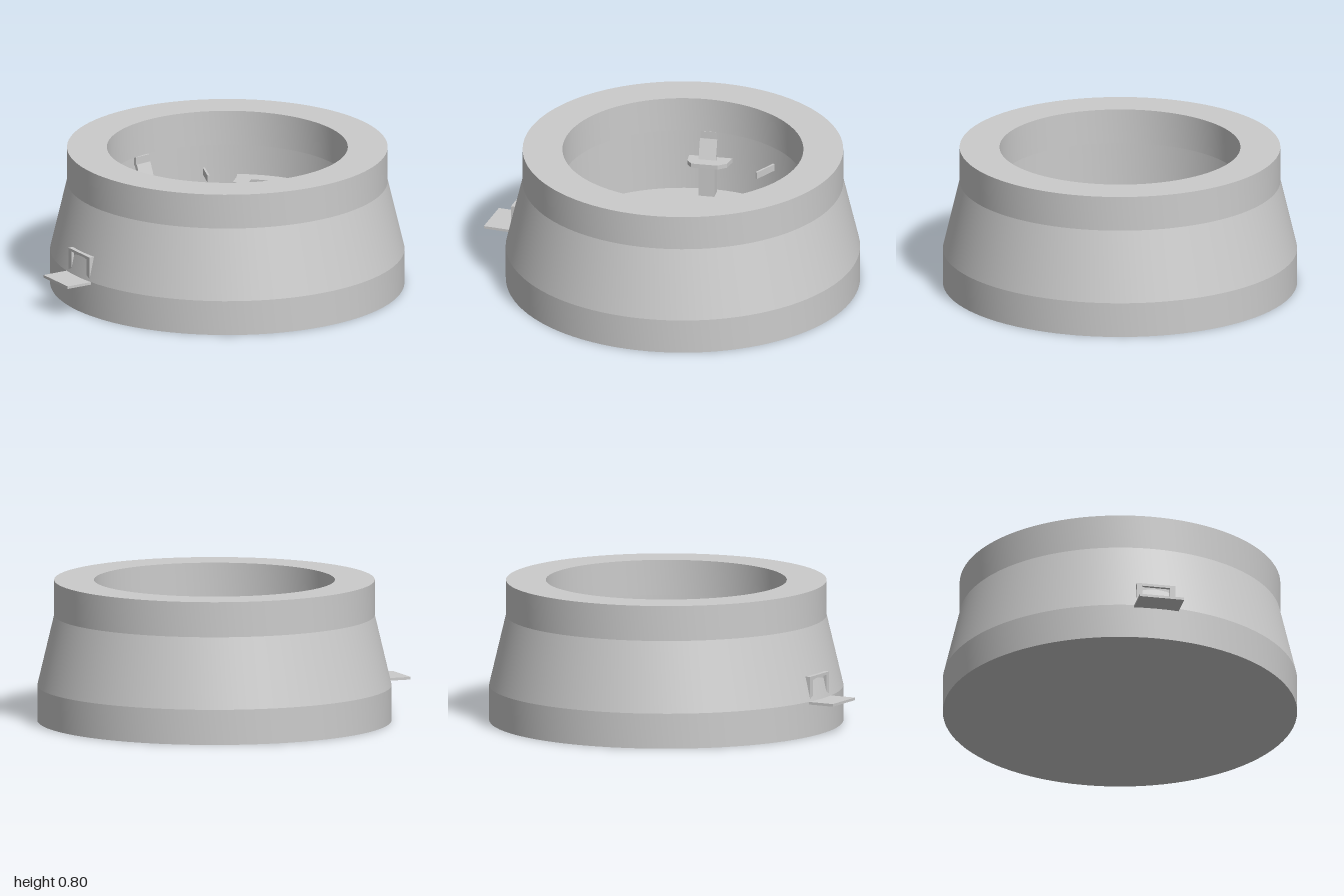
import * as THREE from 'three';
import { toCreasedNormals } from 'three/addons/utils/BufferGeometryUtils.js';

const FLOOR = 0.2, GALLERY = 0.4, WALL = 0.77;

export function createModel() {
  const model = new THREE.Group();
  const grey = new THREE.MeshStandardMaterial({ color: 0xcccccc });

  const add = (name, geo, parent = model) => {
    const mesh = new THREE.Mesh(geo, grey);
    mesh.name = name;
    parent.add(mesh);
    return mesh;
  };

  // box given by its limits on each axis
  const box = (name, x0, x1, y0, y1, z0, z1, parent) => {
    const mesh = add(name, new THREE.BoxGeometry(x1 - x0, y1 - y0, z1 - z0), parent);
    mesh.position.set((x0 + x1) / 2, (y0 + y1) / 2, (z0 + z1) / 2);
    return mesh;
  };

  // slab from a plan outline of [x, z] points
  const slab = (name, plan, y0, y1) => {
    const shape = new THREE.Shape(plan.map(([x, z]) => new THREE.Vector2(x, -z)));
    const geo = new THREE.ExtrudeGeometry(shape, { depth: y1 - y0, bevelEnabled: false });
    geo.rotateX(-Math.PI / 2).translate(0, y0, 0);
    return add(name, toCreasedNormals(geo, 0.5));
  };

  // points on an arc in plan, the angle measured from +x towards +z
  const arc = (cx, r, a0, a1, n = 32) => Array.from({ length: n + 1 }, (_, i) => {
    const a = a0 + (a1 - a0) * i / n;
    return [cx + r * Math.cos(a), r * Math.sin(a)];
  });
  const band = (cx, r0, r1, a0, a1) => [...arc(cx, r0, a0, a1), ...arc(cx, r1, a1, a0)];

  // flight of solid steps along x, from xLow to xHigh
  const stairs = (name, xLow, xHigh, z0, z1, top, count) => {
    const flight = new THREE.Group();
    flight.name = name;
    const run = (xHigh - xLow) / count;
    for (let i = 0; i < count; i++) {
      const a = xLow + run * i, b = a + run;
      const y = FLOOR + (top - FLOOR) * (i + 1) / count;
      box('step', Math.min(a, b), Math.max(a, b), FLOOR, y, z0, z1, flight);
    }
    model.add(flight);
  };

  // group whose local +z points outwards through (x, z)
  const radial = (name, x, z) => {
    const group = new THREE.Group();
    group.name = name;
    group.rotation.y = Math.atan2(x, z);
    model.add(group);
    return group;
  };

  // shell: base, sloping wall, upper ring, inner wall and floor
  const profile = [[0, 0], [1, 0], [1, 0.2], [0.905, 0.6], [0.905, 0.8], [0.68, 0.8],
    [0.68, 0.6], [WALL, 0.6], [WALL, FLOOR], [0, FLOOR]];
  const lathe = new THREE.LatheGeometry(profile.map(p => new THREE.Vector2(...p)), 96);
  add('shell', toCreasedNormals(lathe, 0.2));

  // entrance with landing, frame and recessed door
  const entrance = radial('entrance', -1, 1);
  box('landing', -0.128, 0.128, 0.185, 0.2, 0.95, 1.146, entrance);
  for (const s of [-1, 1]) {
    const x = s * 0.095;
    box('doorJamb', x - 0.016, x + 0.016, 0.2, 0.34, 0.9, 0.99, entrance);
  }
  box('doorLintel', -0.111, 0.111, 0.325, 0.34, 0.9, 0.99, entrance);
  box('door', -0.08, 0.08, 0.2, 0.325, 0.9, 0.972, entrance);

  // raised gallery around the left half
  slab('gallery', band(0, 0.68, WALL, -1.72, Math.PI / 2), GALLERY - 0.02, GALLERY);
  slab('galleryLip', band(0, 0.665, 0.685, 0.8, Math.PI / 2), GALLERY - 0.02, GALLERY);

  // stairs to the gallery at the back
  box('stairLanding', -0.105, -0.03, FLOOR, GALLERY, -0.7, -0.605);
  stairs('backStairs', 0.105, -0.03, -0.7, -0.605, GALLERY, 9);
  box('bottomStep', 0.105, 0.16, FLOOR, 0.215, -0.7, -0.605);

  // curved partition with a wavy-edged shelf and a bench
  const half = 0.68, cx = 1.035;
  slab('partition', band(cx, 0.735, 0.765, Math.PI - half, Math.PI + half), FLOOR, 0.475);
  const wave = [[0.46, -0.46], [0.38, -0.3], [0.365, -0.24], [0.38, -0.19], [0.44, -0.1], [0.48, 0]];
  const mirrored = wave.slice(0, -1).reverse().map(([x, z]) => [x, -z]);
  slab('shelf', [...wave, ...mirrored, ...arc(cx, 0.736, Math.PI - 0.67, Math.PI + 0.67)], 0.28, 0.3);
  slab('bench', band(cx, 0.764, 0.84, Math.PI - 0.145, Math.PI + 0.145), FLOOR, 0.41);

  // platform behind the partition
  box('rearPlatform', 0.595, 0.72, FLOOR, GALLERY, -0.16, 0.16);
  // central dais with a desk and small pillar
  const daisTop = 0.34;
  box('dais', 0.08, 0.14, FLOOR, daisTop, -0.16, 0.16);
  box('desk', 0.01, 0.08, FLOOR, daisTop, -0.04, 0.04);
  box('pillar', -0.06, -0.02, FLOOR, 0.32, -0.02, 0.02);
  for (const s of [-1, 1]) {
    const z0 = Math.min(s * 0.08, s * 0.16), z1 = z0 + 0.08;
    stairs('daisStairs', -0.075, 0.08, z0, z1, daisTop, 7);
    stairs('rearStairs', 0.54, 0.595, z0, z1, GALLERY, 4);
  }

  // balcony on a post, with a leaning console
  const balcony = radial('balcony', -0.53, -0.4);
  box('balconyPost', -0.045, 0.045, FLOOR, 0.38, 0.67, 0.75, balcony);
  slab('balconyFloor', [[-0.56, -0.32], [-0.47, -0.44], [-0.47, -0.5], [-0.52, -0.56],
    [-0.67, -0.36], [-0.61, -0.32]], 0.385, 0.41);
  const console_ = box('console', -0.05, 0.05, 0.41, 0.53, 0.71, 0.73, balcony);
  console_.rotation.x = 0.35;
  box('consolePanel', -0.05, 0.05, 0.52, 0.57, 0.74, 0.755, balcony);

  // small bracket on the inner wall
  const bracket = radial('bracket', -0.25, -0.6);
  box('bracketArm', -0.006, 0.006, 0.4, 0.44, 0.62, WALL + 0.01, bracket);

  return model;
}
